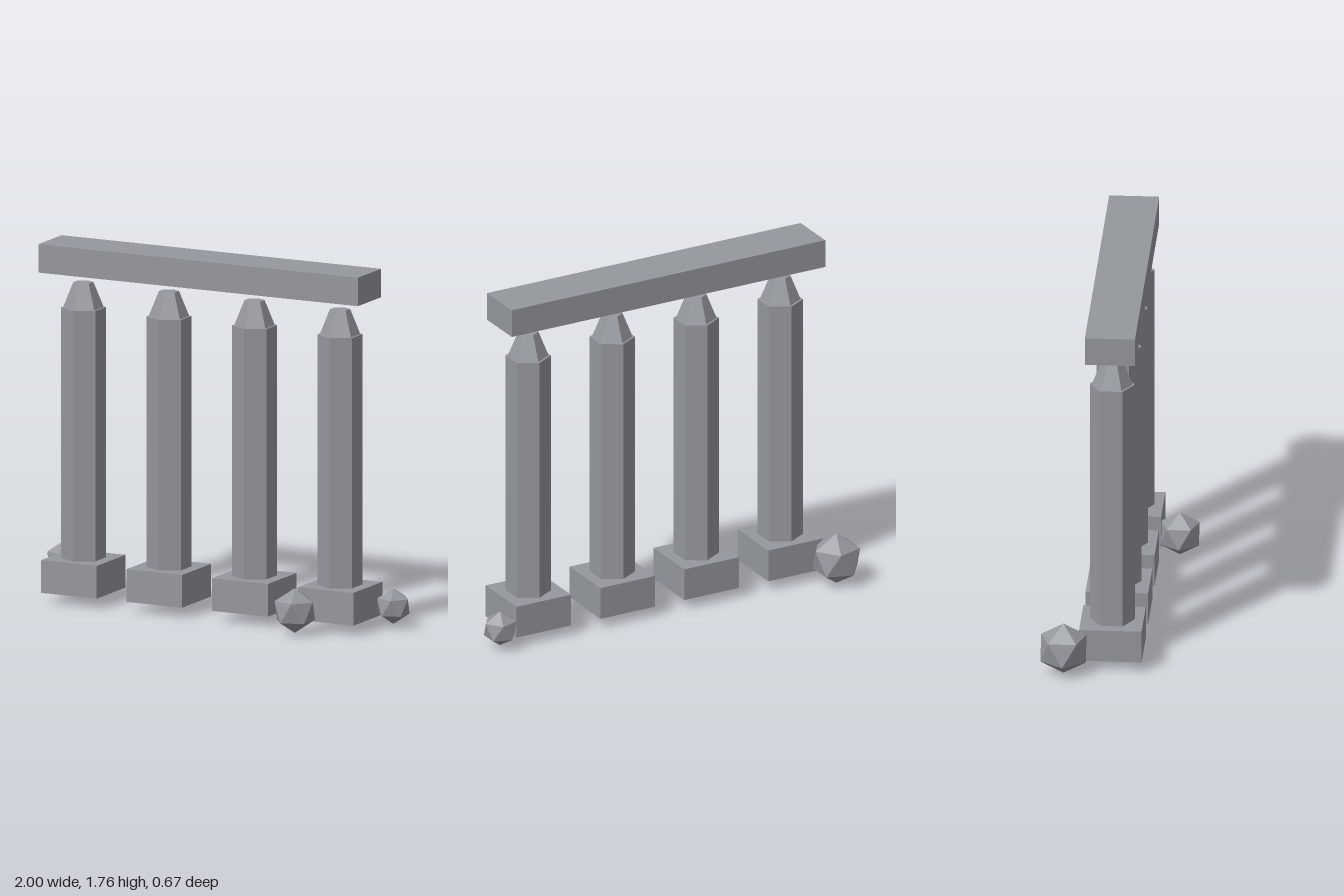
import * as THREE from 'three';
import { ConvexGeometry } from 'three/addons/geometries/ConvexGeometry.js';

export function createModel() {
  const model = new THREE.Group();
  model.name = 'ruinedColonnade';
  const stone = new THREE.MeshStandardMaterial({ color: 0x94979c, flatShading: true });
  stone.name = 'grey stone';

  const add = (parent, name, geometry, x, y, z) => {
    const mesh = new THREE.Mesh(geometry, stone);
    mesh.name = name;
    mesh.position.set(x, y, z);
    parent.add(mesh);
    return mesh;
  };

  // Four hexagonal columns, each on a square plinth with a tapered cap
  const plinth = new THREE.BoxGeometry(0.302, 0.161, 0.302);
  const shaft = new THREE.CylinderGeometry(0.109, 0.109, 1.232, 6);
  const cap = new THREE.CylinderGeometry(0.049, 0.098, 0.123, 6);
  for (let i = 0; i < 4; i++) {
    const column = new THREE.Group();
    column.name = `column${i + 1}`;
    column.position.x = -0.701 + i * 0.465;
    add(column, 'plinth', plinth, 0, 0.13, 0);
    add(column, 'shaft', shaft, 0, 0.826, 0);
    add(column, 'cap', cap, 0, 1.504, 0);
    model.add(column);
  }

  // Beam floating above the columns
  add(model, 'beam', new THREE.BoxGeometry(1.736, 0.14, 0.242), -0.014, 1.687, 0);

  // Rocks: icosahedra with a corner straight up
  const ringY = 1 / Math.sqrt(5);
  const corners = [new THREE.Vector3(0, 1, 0), new THREE.Vector3(0, -1, 0)];
  for (let i = 0; i < 10; i++) {
    const a = (i * Math.PI) / 5;
    corners.push(new THREE.Vector3(
      2 * ringY * Math.cos(a), i % 2 ? -ringY : ringY, 2 * ringY * Math.sin(a)));
  }
  const rock = new ConvexGeometry(corners);
  const rocks = [
    [-0.885, 0.128, -0.224, 0.129],
    [0.573, 0.115, 0.24, 0.11],
    [0.92, 0.104, -0.123, 0.088],
  ];
  rocks.forEach(([x, y, z, r], i) => {
    add(model, `rock${i + 1}`, rock, x, y, z).scale.setScalar(r);
  });

  return model;
}
